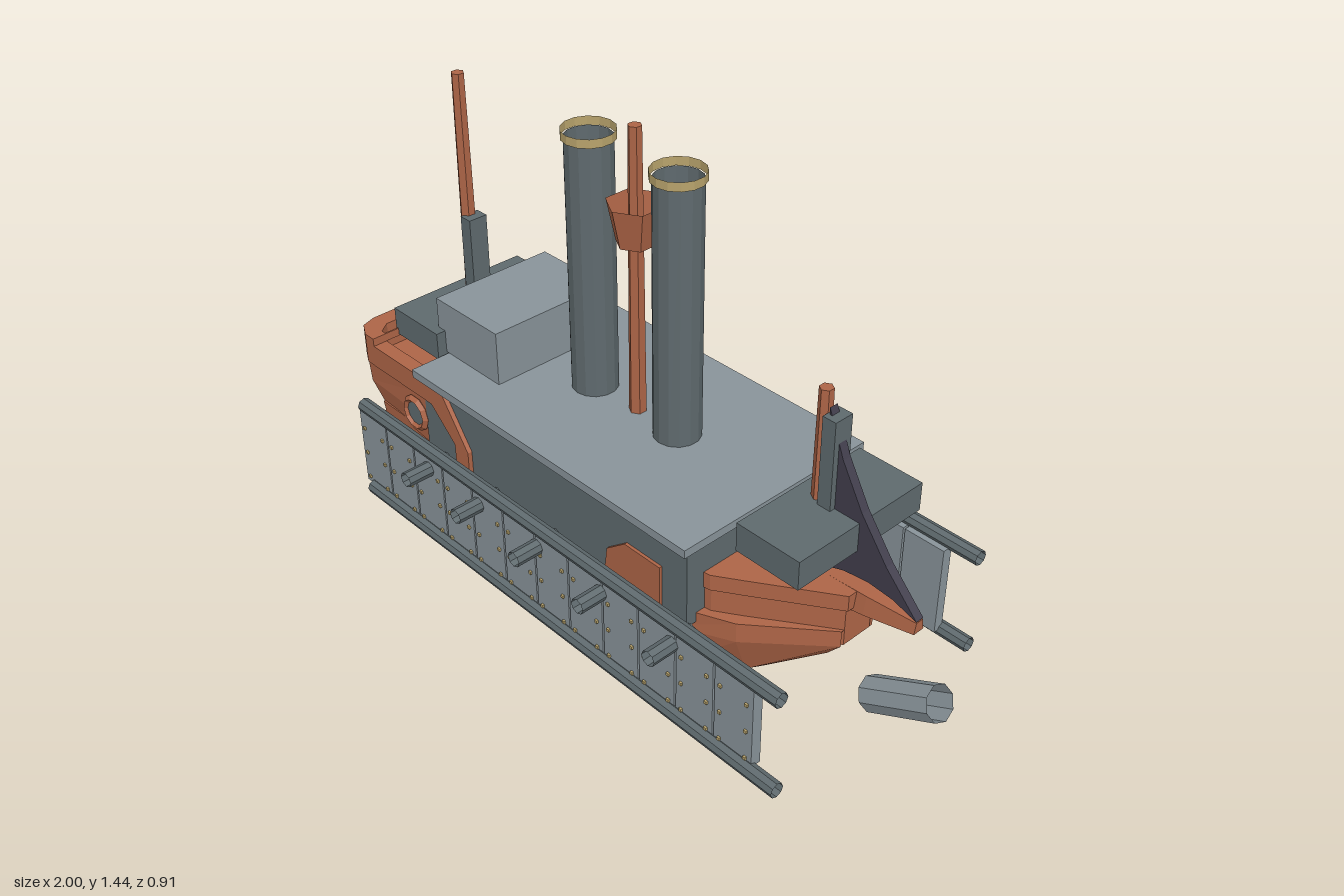
import * as THREE from 'three';

const mat = (name, color) => {
  const m = new THREE.MeshStandardMaterial({ color, flatShading: true, side: THREE.DoubleSide });
  m.name = name;
  return m;
};

export function createModel() {
  const ship = new THREE.Group();
  ship.name = 'armouredSteamship';
  const rust = mat('rustyHull', 0xae6547);
  const steel = mat('darkSteel', 0x5f6a6e);
  const plate = mat('lightSteel', 0x89949a);
  const brass = mat('brass', 0xb8a36c);
  const cloth = mat('darkSail', 0x413e4c);

  const add = (name, geo, m, x = 0, y = 0, z = 0, parent = ship) => {
    const mesh = new THREE.Mesh(geo, m);
    mesh.name = name;
    mesh.position.set(x, y, z);
    parent.add(mesh);
    return mesh;
  };
  // Box from its limits
  const box = (name, m, x0, x1, y0, y1, z0, z1, parent) =>
    add(name, new THREE.BoxGeometry(x1 - x0, y1 - y0, z1 - z0), m,
      (x0 + x1) / 2, (y0 + y1) / 2, (z0 + z1) / 2, parent);
  const shapeOf = pts => new THREE.Shape(pts.map(p => new THREE.Vector2(...p)));
  // Side-view outline extruded towards +z from z
  const side = (name, m, pts, z, depth) =>
    add(name, new THREE.ExtrudeGeometry(shapeOf(pts), { depth, bevelEnabled: false }), m, 0, 0, z);
  // Plan outline (x, z) extruded upwards between y0 and y1
  const plan = (name, m, pts, y0, y1, hole) => {
    const s = shapeOf(pts);
    if (hole) s.holes.push(new THREE.Path(hole.map(p => new THREE.Vector2(...p))));
    const g = new THREE.ExtrudeGeometry(s, { depth: y1 - y0, bevelEnabled: false });
    g.rotateX(-Math.PI / 2);
    return add(name, g, m, 0, y0, 0);
  };
  // Mirror a half plan across the centreline
  const both = half => [...half, ...half.slice().reverse().map(([x, z]) => [x, -z])];
  // Loft mirrored half sections of [x, y, halfWidth], from keel to top, stern to bow
  const loft = (name, m, stations) => {
    const rings = stations.map(s => [...s, ...s.slice().reverse().map(([x, y, z]) => [x, y, -z])]);
    const n = rings[0].length, pos = [];
    const tri = (...p) => p.forEach(v => pos.push(...v));
    for (let i = 0; i + 1 < rings.length; i++) {
      for (let j = 0; j < n; j++) {
        const a = rings[i][j], b = rings[i][(j + 1) % n];
        const c = rings[i + 1][(j + 1) % n], d = rings[i + 1][j];
        tri(a, d, c);
        tri(a, c, b);
      }
    }
    const last = rings[rings.length - 1];
    for (let j = 1; j + 1 < n; j++) {
      tri(rings[0][0], rings[0][j], rings[0][j + 1]);
      tri(last[0], last[j + 1], last[j]);
    }
    const g = new THREE.BufferGeometry();
    g.setAttribute('position', new THREE.Float32BufferAttribute(pos, 3));
    g.computeVertexNormals();
    return add(name, g, m);
  };
  // Open-ended tube
  const tube = (name, m, r, len, sides, x, y, z) =>
    add(name, new THREE.CylinderGeometry(r, r, len, sides, 1, true), m, x, y, z);

  // Hull
  loft('hull', rust, [
    [[-0.83, 0.035, 0.15], [-0.87, 0.13, 0.25], [-0.92, 0.29, 0.285], [-0.93, 0.36, 0.29]],
    [[0.30, 0.035, 0.16], [0.31, 0.13, 0.27], [0.33, 0.29, 0.3], [0.34, 0.36, 0.3]],
    [[0.46, 0.1, 0.09], [0.49, 0.17, 0.18], [0.5, 0.3, 0.23], [0.5, 0.36, 0.23]],
    [[0.6, 0.2, 0.02], [0.65, 0.25, 0.05], [0.7, 0.31, 0.06], [0.7, 0.36, 0.06]],
  ]);
  const ribSection = x => [[x, 0, 0.17], [x, 0.09, 0.265], [x, 0.22, 0.318], [x, 0.275, 0.32],
    [x, 0.28, 0.338], [x, 0.305, 0.338]];
  loft('hullRib', rust, [ribSection(-0.38), ribSection(-0.26)]);
  box('sternLedge', rust, -0.95, -0.6, 0.28, 0.31, -0.32, 0.32);

  // Raised stern with bulwark
  loft('sternHull', rust, [
    [[-0.925, 0.34, 0.28], [-0.97, 0.42, 0.295], [-0.975, 0.525, 0.3]],
    [[-0.68, 0.34, 0.3], [-0.68, 0.42, 0.306], [-0.64, 0.525, 0.306]],
  ]);
  plan('sternBulwark', rust,
    both([[-0.69, 0.32], [-0.94, 0.32], [-0.985, 0.295], [-1, 0.25]]), 0.51, 0.58,
    both([[-0.7, 0.275], [-0.92, 0.275], [-0.945, 0.24]]));
  plan('sternRail', rust,
    both([[-0.9, 0.32], [-0.94, 0.32], [-0.985, 0.295], [-1, 0.25]]), 0.58, 0.605,
    both([[-0.905, 0.275], [-0.92, 0.275], [-0.945, 0.24]]));
  for (const s of [1, -1]) {
    side('sternBrace', rust, [[-0.72, 0.51], [-0.72, 0.575], [-0.58, 0.575], [-0.47, 0.42], [-0.47, 0.34],
      [-0.53, 0.34], [-0.53, 0.42], [-0.63, 0.51]], s > 0 ? 0.3 : -0.32, 0.02);
    side('sidePatch', rust, [[0.1, 0.34], [0.11, 0.42], [0.18, 0.475], [0.31, 0.475], [0.31, 0.34]],
      s > 0 ? 0.305 : -0.315, 0.01);
    // Arched port in the stern side
    add('portFrame', new THREE.TorusGeometry(0.046, 0.012, 4, 10), rust, -0.73, 0.425, s * 0.308);
    const port = add('portHole', new THREE.CylinderGeometry(0.04, 0.04, 0.008, 10), steel, -0.73, 0.425, s * 0.307);
    port.rotation.x = Math.PI / 2;
  }

  // Bow deck and bowsprit
  plan('bowDeck', rust, both([[0.39, 0.25], [0.42, 0.245], [0.49, 0.2], [0.71, 0.055]]), 0.43, 0.478);
  plan('bowUpperHull', rust, both([[0.36, 0.25], [0.42, 0.24], [0.49, 0.195], [0.7, 0.05]]), 0.31, 0.43);
  loft('bowsprit', rust, [
    [[0.62, 0.41, 0.04], [0.62, 0.478, 0.03]],
    [[0.74, 0.425, 0.035], [0.74, 0.479, 0.025]],
    [[0.885, 0.445, 0.018], [0.885, 0.478, 0.012]],
  ]);

  // Casemate, roof and deck boxes
  box('casemate', steel, -0.68, 0.4, 0.33, 0.578, -0.306, 0.306);
  box('roof', plate, -0.695, 0.415, 0.575, 0.6, -0.33, 0.33);
  box('cabin', plate, -0.735, -0.465, 0.6, 0.765, -0.2, 0.2);
  for (const z of [-0.07, 0.07]) box('cabinShutter', plate, -0.748, -0.735, 0.67, 0.73, z - 0.045, z + 0.045);
  box('aftDeckBox', steel, -0.91, -0.705, 0.585, 0.67, -0.23, 0.23);
  box('foreDeckBox', steel, 0.485, 0.69, 0.585, 0.67, -0.225, 0.225);

  // Funnels
  for (const x of [-0.285, 0.045]) {
    tube('funnel', steel, 0.067, 0.755, 14, x, 0.975, 0);
    tube('funnelRim', brass, 0.074, 0.025, 14, x, 1.362, 0);
  }

  // Masts, lookout nest and posts
  const mast = (name, x, y0, y1) =>
    add(name, new THREE.CylinderGeometry(0.019, 0.025, y1 - y0, 6), rust, x, (y0 + y1) / 2, 0);
  mast('mainMast', -0.11, 0.6, 1.44);
  mast('aftMast', -0.83, 0.66, 1.36);
  mast('foreMast', 0.55, 0.47, 0.99);
  add('lookoutNest', new THREE.CylinderGeometry(0.08, 0.055, 0.115, 6, 1, true), rust, -0.11, 1.172, 0);
  add('lookoutFloor', new THREE.CylinderGeometry(0.055, 0.055, 0.008, 6), rust, -0.11, 1.12, 0);
  for (const x of [-0.805, 0.588]) {
    box('mastPost', steel, x - 0.02, x + 0.022, 0.67, 0.93, -0.03, 0.03);
  }

  // Fore sail with hollow edges
  const sail = new THREE.Shape();
  sail.moveTo(0.575, 0.95);
  sail.quadraticCurveTo(0.66, 0.69, 0.885, 0.482);
  sail.quadraticCurveTo(0.73, 0.545, 0.575, 0.475);
  sail.closePath();
  add('foreSail', new THREE.ExtrudeGeometry(sail, { depth: 0.026, bevelEnabled: false, curveSegments: 4 }),
    cloth, 0, 0, -0.013);

  // Ram tube under the bow
  const ram = tube('ramTube', plate, 0.05, 0.235, 8, 0.868, 0.213, 0);
  ram.rotation.z = -1.08;

  // Side armour: plates, rivets, rails and guns
  const rivet = new THREE.BoxGeometry(0.009, 0.009, 0.008);
  const pitch = 1.64 / 12;
  for (const s of [1, -1]) {
    const armour = new THREE.Group();
    armour.name = s > 0 ? 'leftArmour' : 'rightArmour';
    ship.add(armour);
    for (let i = 0; i < 12; i++) {
      const x = -0.938 + pitch * (i + 0.5), w = pitch / 2 - 0.003;
      box('armourPlate', plate, x - w, x + w, 0.108, 0.39, s * 0.357 - 0.016, s * 0.357 + 0.016, armour);
      for (const dx of [-0.045, 0.045]) {
        for (const y of [0.13, 0.22, 0.308, 0.375]) add('rivet', rivet, brass, x + dx, y, s * 0.375, armour);
      }
    }
    for (const y of [0.402, 0.102]) {
      const rail = tube('armourRail', steel, 0.022, 1.69, 8, -0.055, y, s * 0.376);
      rail.rotation.z = Math.PI / 2;
    }
    for (const x of [-0.593, -0.362, -0.108, 0.15, 0.416]) {
      const gun = tube('gunBarrel', steel, 0.023, 0.15, 8, x, 0.33, s * 0.38);
      gun.rotation.x = Math.PI / 2;
    }
  }
  return ship;
}
